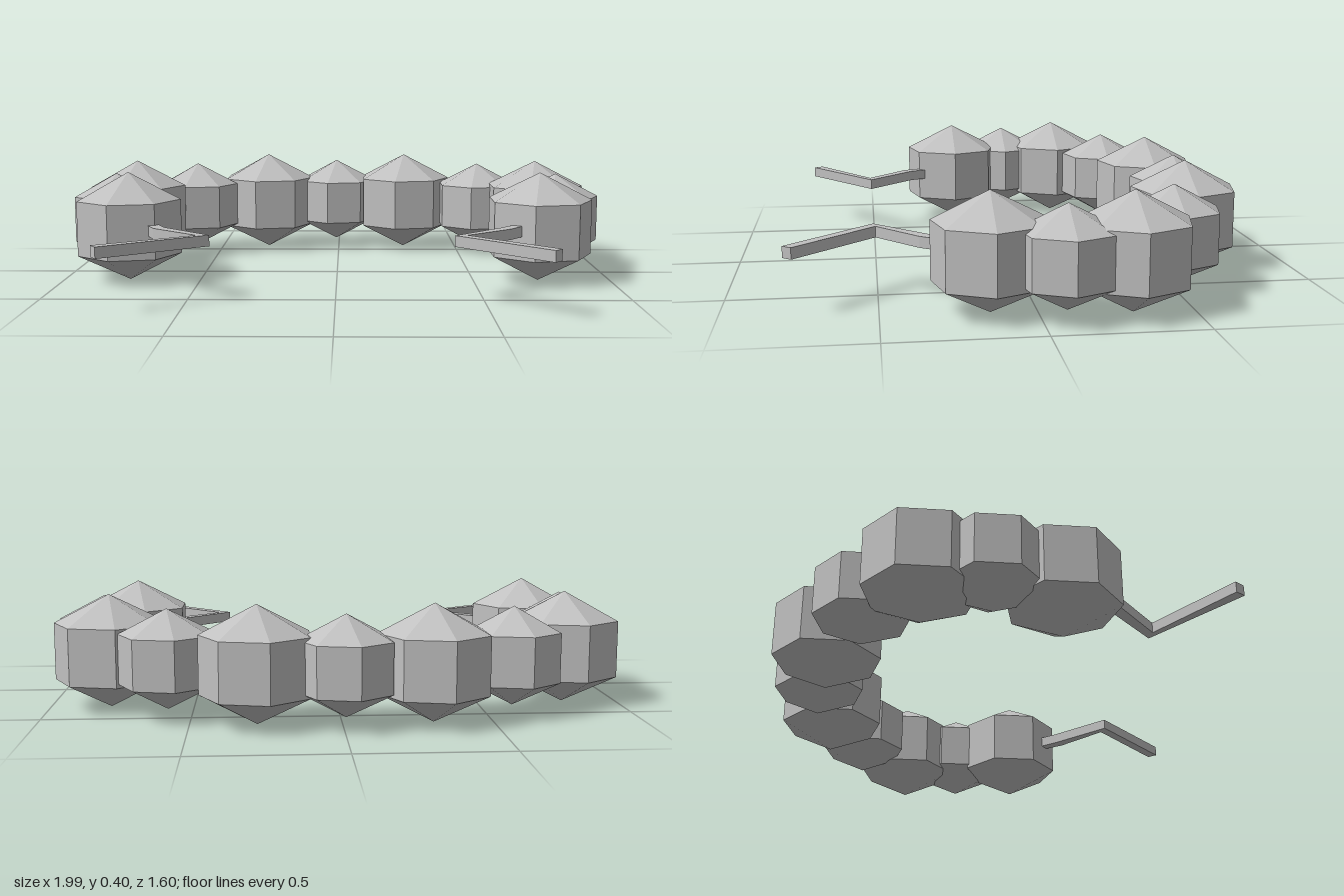
import * as THREE from 'three';

const Y = 0.198; // height of the chain's centre plane

export function createModel() {
  const model = new THREE.Group();
  model.name = 'beadBracelet';
  const grey = new THREE.MeshStandardMaterial({ color: 0xc0c0c0 });
  grey.name = 'plain grey';
  grey.flatShading = true;

  // Seven-sided bead: straight wall with a pointed cap above and below
  function beadGeometry(radius, halfHeight) {
    const profile = [[0, -1], [1, -0.5], [1, 0.5], [0, 1]]
      .map(([r, y]) => new THREE.Vector2(r * radius, y * halfHeight));
    // a corner points along +x
    return new THREE.LatheGeometry(profile, 7, Math.PI / 2).toNonIndexed();
  }
  const large = beadGeometry(0.191, 0.198);
  const small = beadGeometry(0.163, 0.17);

  // Beads alternate large and small around the open ring: [x, z]
  const centres = [
    [-0.76, 0.15], [-0.85, -0.08], [-0.81, -0.3], [-0.59, -0.483],
    [-0.302, -0.604], [-0.01, -0.643], [0.278, -0.604],
    [0.577, -0.483], [0.79, -0.3], [0.834, -0.08], [0.737, 0.15],
  ];
  centres.forEach(([x, z], i) => {
    const bead = new THREE.Mesh(i % 2 ? small : large, grey);
    bead.name = i % 2 ? 'smallBead' : 'largeBead';
    bead.position.set(x, Y, z);
    model.add(bead);
  });

  // Flat bent cords at both open ends, outlined in plan as [x, z]
  function cord(name, outline) {
    const shape = new THREE.Shape(outline.map(([x, z]) => new THREE.Vector2(x, -z)));
    const geometry = new THREE.ExtrudeGeometry(shape, { depth: 0.038, bevelEnabled: false });
    geometry.rotateX(-Math.PI / 2);
    const mesh = new THREE.Mesh(geometry, grey);
    mesh.name = name;
    mesh.position.y = Y - 0.017 + 0.003;
    model.add(mesh);
  }
  cord('rightCord', [
    [-0.71, 0.2], [-0.635, 0.365], [-0.467, 0.512], [-0.773, 0.716],
    [-0.751, 0.749], [-0.422, 0.508], [-0.602, 0.337], [-0.67, 0.19],
  ]);
  cord('leftCord', [
    [0.69, 0.2], [0.575, 0.335], [0.398, 0.51], [0.682, 0.795],
    [0.708, 0.766], [0.442, 0.503], [0.607, 0.364], [0.73, 0.2],
  ]);
  return model;
}
